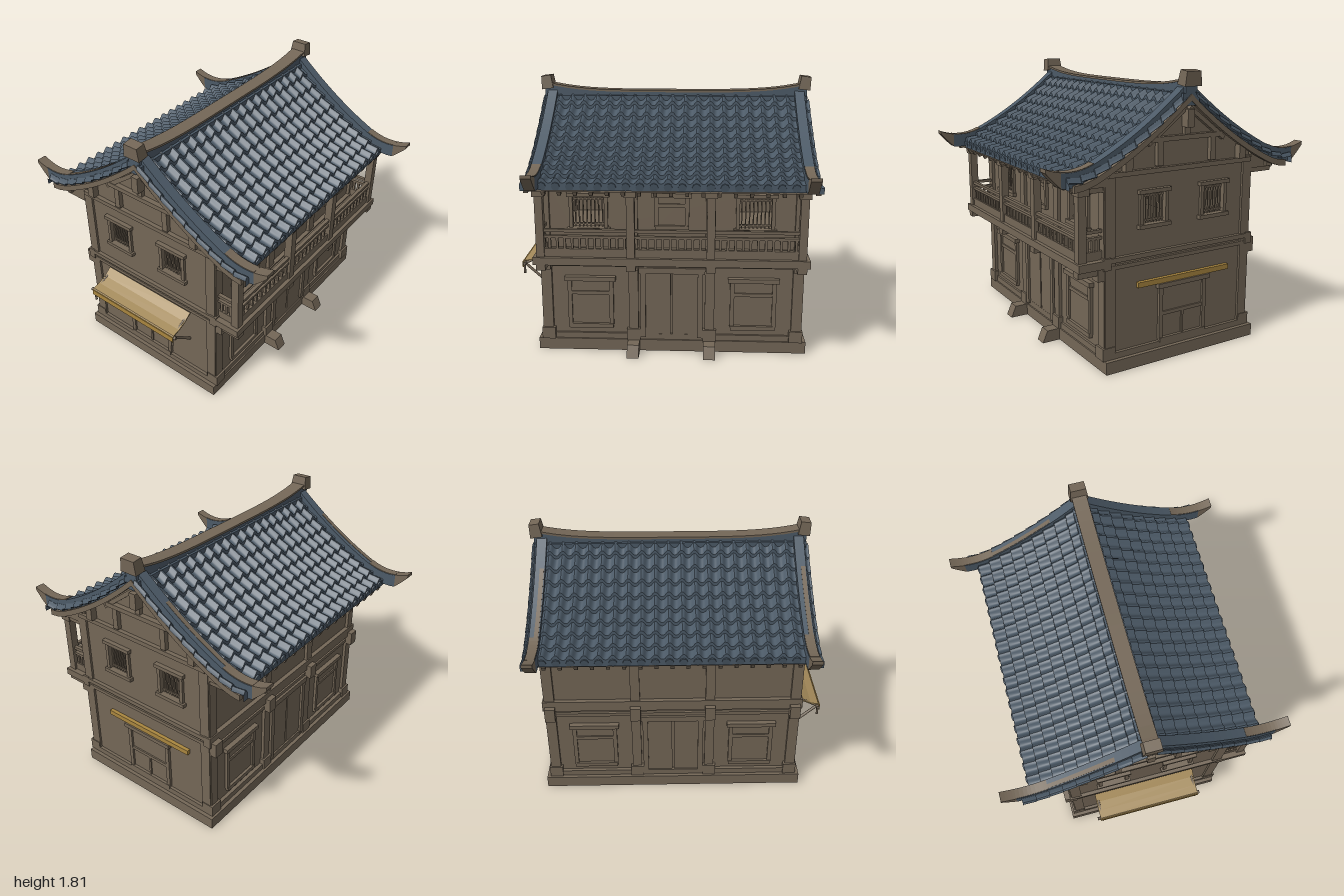
import * as THREE from 'three';
import { toCreasedNormals } from 'three/addons/utils/BufferGeometryUtils.js';

const mat = (name, color, side = THREE.FrontSide) => {
  const m = new THREE.MeshStandardMaterial({ color, side });
  m.name = name;
  return m;
};

export function createModel() {
  const timber = mat('weathered timber', 0x746757);
  const slate = mat('blue roof tile', 0x4c5a67, THREE.DoubleSide);
  const cloth = mat('faded tan cloth', 0xa48a5a, THREE.DoubleSide);
  const trim = mat('ochre cloth edge', 0xa9863f);

  const root = new THREE.Group();
  root.name = 'house';
  const group = (name, parent, x = 0, y = 0, z = 0, ry = 0) => {
    const g = new THREE.Group();
    g.name = name;
    g.position.set(x, y, z);
    g.rotation.y = ry;
    parent.add(g);
    return g;
  };
  const add = (parent, name, geo, m = timber) => {
    const mesh = new THREE.Mesh(geo, m);
    mesh.name = name;
    parent.add(mesh);
    return mesh;
  };
  // Box given by its low and high limits on each axis
  const box = (p, name, x0, x1, y0, y1, z0, z1, m = timber) => {
    const mesh = add(p, name, new THREE.BoxGeometry(x1 - x0, y1 - y0, z1 - z0), m);
    mesh.position.set((x0 + x1) / 2, (y0 + y1) / 2, (z0 + z1) / 2);
    return mesh;
  };
  const rod = (p, name, a, b, r, m = timber) => {
    const A = new THREE.Vector3(...a), d = new THREE.Vector3(...b).sub(A);
    const mesh = add(p, name, new THREE.CylinderGeometry(r, r, d.length(), 8), m);
    mesh.position.copy(A).addScaledVector(d, 0.5);
    mesh.quaternion.setFromUnitVectors(new THREE.Vector3(0, 1, 0), d.normalize());
    return mesh;
  };
  const vecs = pts => pts.map(p => new THREE.Vector2(...p));
  const extrude = (shape, depth) => new THREE.ExtrudeGeometry(shape, { depth, bevelEnabled: false });
  // Extruded strip between two height curves over [a, b]
  const strip = (a, b, lo, hi, depth, n = 24) => {
    const us = Array.from({ length: n + 1 }, (_, i) => a + (b - a) * i / n);
    const pts = [...us.map(u => [u, lo(u)]), ...us.map(u => [u, hi(u)]).reverse()];
    return extrude(new THREE.Shape(vecs(pts)), depth).translate(0, 0, -depth / 2);
  };
  const wall = (p, points, holes) => {
    const s = new THREE.Shape(vecs(points));
    for (const [x0, x1, y0, y1] of holes) s.holes.push(new THREE.Path(vecs([[x0, y0], [x0, y1], [x1, y1], [x1, y0]])));
    add(p, 'wall', extrude(s, 0.03).translate(0, 0, -0.03));
  };

  const slope = z => 1.69 - 0.87 * Math.abs(z) + 0.31 * z * z;
  const upturn = z => slope(z) + 1.1 * Math.max(0, Math.abs(z) - 0.65) ** 2;
  const building = group('building', root, 0.055);
  const body = group('body', building);
  const W = 0.86, F = 0.56, B = 0.52;
  const front = group('frontFace', body, 0, 0, F);
  const back = group('backFace', body, 0, 0, -B, Math.PI);

  // Details placed on a face: x across, y up, z outward
  const barredWindow = (f, x, w, y0, y1) => {
    box(f, 'windowLintel', x - w - 0.025, x + w + 0.025, y1, y1 + 0.025, -0.02, 0.03);
    box(f, 'windowSill', x - w - 0.025, x + w + 0.025, y0 - 0.025, y0, -0.02, 0.03);
    for (const s of [-1, 1]) box(f, 'windowJamb', x + s * w - 0.012, x + s * w + 0.012, y0, y1, -0.02, 0.018);
    for (let i = 1; i < 9; i++) {
      const u = x - w + 2 * w * i / 9;
      box(f, 'windowBar', u - 0.004, u + 0.004, y0, y1, -0.02, -0.008);
    }
    for (const t of [0.1, 0.9]) box(f, 'windowCrossbar', x - w, x + w, y0 + (y1 - y0) * t - 0.005, y0 + (y1 - y0) * t + 0.005, -0.022, -0.006);
  };
  const shutter = (f, x, w, y0, y1, t = 0.72) => {
    box(f, 'shutterPanel', x - w, x + w, y0, y1, -0.01, 0.006);
    box(f, 'shutterLintel', x - w - 0.03, x + w + 0.03, y1, y1 + 0.03, 0, 0.035);
    box(f, 'shutterSill', x - w - 0.01, x + w + 0.01, y0 - 0.02, y0 + 0.01, 0, 0.025);
    const mid = y0 + (y1 - y0) * t;
    box(f, 'shutterRail', x - w, x + w, mid - 0.012, mid + 0.012, 0, 0.016);
    for (const s of [-1, 1]) box(f, 'shutterJamb', x + s * w - 0.014, x + s * w + 0.014, y0, y1, 0, 0.02);
  };

  // Plinth, an open ring
  for (const s of [-1, 1]) {
    box(body, 'plinth', -0.905, 0.905, 0, 0.08, s > 0 ? 0.515 : -0.57, s > 0 ? 0.585 : -0.485);
    box(body, 'plinth', s > 0 ? 0.83 : -0.905, s > 0 ? 0.905 : -0.83, 0, 0.08, -0.49, 0.52);
    box(body, 'plinthLedge', -0.88, 0.88, 0.08, 0.12, s > 0 ? 0.53 : -0.545, s > 0 ? 0.575 : -0.5);
    box(body, 'plinthLedge', s > 0 ? 0.83 : -0.88, s > 0 ? 0.88 : -0.83, 0.08, 0.12, -0.5, 0.53);
  }
  box(body, 'upperFloor', -0.84, 0.84, 0.66, 0.69, -0.5, 0.54);

  // Front and back walls
  const rect = [[-W, 0.05], [W, 0.05], [W, 1.25], [-W, 1.25]];
  wall(front, rect, [[-0.655, -0.435, 0.87, 1.08], [0.435, 0.655, 0.87, 1.08]]);
  wall(back, rect, []);

  // Gable ends with windows and roof framing
  for (const side of [1, -1]) {
    const f = group(side > 0 ? 'leftFace' : 'rightFace', body, side * W, 0, 0, side * Math.PI / 2);
    const [u0, u1] = side > 0 ? [-F, B] : [-B, F];
    const gable = [[u0, 0.05], [u1, 0.05]];
    for (let i = 0; i <= 6; i++) gable.push([u1 * (1 - i / 6), slope(u1 * (1 - i / 6)) - 0.035]);
    for (let i = 1; i <= 6; i++) gable.push([u0 * i / 6, slope(u0 * i / 6) - 0.035]);
    wall(f, gable, [-1, 1].map(s => [s * 0.228 - 0.085, s * 0.228 + 0.085, 0.9, 1.09]));
    for (const s of [-1, 1]) {
      const edge = s > 0 ? u1 : u0;
      barredWindow(f, s * 0.228, 0.092, 0.9, 1.09);
      box(f, 'cornerPost', Math.min(edge + s * 0.015, edge - s * 0.055), Math.max(edge + s * 0.015, edge - s * 0.055), 0.08, 1.22, -0.05, 0.015);
      box(f, 'gablePost', s * 0.2 - 0.02, s * 0.2 + 0.02, 1.25, 1.42, 0, 0.03);
      box(f, 'purlinEnd', s * 0.43 - 0.025, s * 0.43 + 0.025, 1.24, 1.33, 0, 0.045);
      const brace = box(f, 'gableBrace', -0.17, 0.17, -0.014, 0.014, 0, 0.03);
      brace.position.set(s * 0.15, 1.485, 0.015);
      brace.rotation.z = -s * 0.64;
    }
    shutter(f, 0, 0.17, 0.13, 0.475, 0.49);
    box(f, 'shutterDivider', -0.008, 0.008, 0.13, 0.3, 0, 0.016);
    for (const [name, y0, y1, z] of [['floorBand', 0.695, 0.725, 0.025], ['floorBand', 0.65, 0.675, 0.018], ['gableBeam', 1.21, 1.24, 0.028]]) {
      box(f, name, u0, u1, y0, y1, 0, z);
    }
    box(f, 'gableCollar', -0.27, 0.27, 1.395, 1.425, 0, 0.035);
    box(f, 'ridgePurlin', -0.025, 0.025, 1.47, 1.58, 0, 0.06);
    box(f, 'ridgePost', -0.02, 0.02, 1.42, 1.48, 0, 0.025);
  }

  // Columns, beams, shutters and doors on front and back
  const bay = 0.255, corner = 0.835, posts = [-corner, -bay, bay, corner];
  for (const f of [front, back]) {
    for (const x of posts) {
      box(f, 'column', x - 0.032, x + 0.032, 0.08, 1.25, -0.05, 0.022);
      box(f, 'columnFoot', x - 0.045, x + 0.045, 0.08, 0.16, -0.05, 0.035);
      box(f, 'columnBracket', x - 0.035, x + 0.035, 0.59, 0.69, 0, 0.065);
      box(f, 'eaveBracket', x - 0.03, x + 0.03, 1.13, 1.2, 0, 0.19);
    }
    for (const s of [-1, 1]) shutter(f, s * 0.545, 0.14, 0.18, 0.5);
    box(f, 'floorBeam', -0.885, 0.885, 0.655, 0.73, -0.02, 0.03);
    box(f, 'topBeam', -0.87, 0.87, 1.14, 1.19, 0, 0.025);
    box(f, 'lowerBeam', -0.84, 0.84, 0.6, 0.625, 0, 0.018);
    box(f, 'eavePurlin', -0.89, 0.89, 1.165, 1.2, 0.13, 0.18);
    for (const s of [-1, 1]) {
      box(f, 'doorLeaf', s > 0 ? 0.006 : -0.175, s > 0 ? 0.175 : -0.006, 0.12, 0.56, 0, 0.014);
      box(f, 'doorJamb', s * 0.192 - 0.018, s * 0.192 + 0.018, 0.1, 0.58, 0, 0.03);
    }
    box(f, 'doorLintel', -0.22, 0.22, 0.56, 0.6, 0, 0.035);
  }
  for (const s of [-1, 1]) barredWindow(front, s * 0.545, 0.115, 0.87, 1.08);
  shutter(front, 0, 0.1, 0.88, 1.08);

  // Step blocks in front of the middle columns
  for (const x of [-bay, bay]) {
    const step = new THREE.Shape(vecs([[0, 0], [0.15, 0], [0.115, 0.08], [0, 0.08]]));
    add(front, 'stepBlock', extrude(step, 0.08).rotateY(-Math.PI / 2)).position.set(x + 0.04, 0, 0);
  }

  // Balcony
  const balcony = group('balcony', front);
  box(balcony, 'balconyFloor', -0.885, 0.885, 0.67, 0.72, 0, 0.2);
  const rails = [[0.885, 0.905], [0.845, 0.862], [0.72, 0.775]];
  posts.forEach((x, i) => {
    box(balcony, 'balconyPost', x - 0.026, x + 0.026, 0.7, 1.19, 0.135, 0.187);
    box(balcony, 'postCap', x - 0.038, x + 0.038, 1.12, 1.16, 0.12, 0.195);
    box(balcony, 'balconyBracket', x - 0.03, x + 0.03, 0.63, 0.68, 0, 0.195);
    if (i === 3) return;
    const x1 = posts[i + 1];
    for (const [y0, y1] of rails) box(balcony, 'rail', x, x1, y0, y1, 0.15, 0.175);
    for (let u = x + 0.06; u < x1 - 0.03; u += 0.048) box(balcony, 'baluster', u - 0.008, u + 0.008, 0.77, 0.85, 0.155, 0.17);
  });
  for (const s of [-1, 1]) {
    for (const [y0, y1] of rails) box(balcony, 'sideRail', s * corner - 0.012, s * corner + 0.012, y0, y1, 0, 0.16);
    for (const z of [0.045, 0.08, 0.115]) box(balcony, 'sideBaluster', s * corner - 0.008, s * corner + 0.008, 0.77, 0.85, z - 0.008, z + 0.008);
  }

  // Roof tiles: rolls across, stepped rows down the slope
  const roof = group('roof', building, 0.003);
  const tileSheet = (x0, x1, cols, zEnd, step, curve) => {
    const rows = 9, seg = 8, nx = cols * seg, lines = [], pos = [], idx = [];
    for (let r = 0; r < rows; r++) {
      lines.push([0.03 + (zEnd - 0.03) * r / rows, 0], [0.03 + (zEnd - 0.03) * (r + 1) / rows, step]);
    }
    lines.push([zEnd, -0.03]);
    lines.forEach(([z, lift], j) => {
      for (let i = 0; i <= nx; i++) {
        const p = (i % seg) / seg;
        const roll = p < 0.6 ? 0.026 * Math.sin(Math.PI * p / 0.6) : -0.008 * Math.sin(Math.PI * (p - 0.6) / 0.4);
        pos.push(x0 + (x1 - x0) * i / nx, curve(z) + lift + (j === lines.length - 1 ? 0 : roll), z);
        if (!i || !j) continue;
        const d = j * (nx + 1) + i, c = d - 1, b = d - nx - 1, a = b - 1;
        idx.push(a, c, b, b, c, d);
      }
    });
    const g = new THREE.BufferGeometry();
    g.setAttribute('position', new THREE.Float32BufferAttribute(pos, 3));
    g.setIndex(idx);
    return toCreasedNormals(g, 0.7);
  };
  for (const turn of [0, Math.PI]) {
    const half = group('roofHalf', roof, 0, 0, 0, turn);
    add(half, 'tileField', tileSheet(-0.83, 0.83, 19, 0.78, 0.024, slope), slate);
    for (const x of [-0.927, 0.87]) add(half, 'edgeTiles', tileSheet(x, x + 0.057, 1, 0.84, 0.014, z => upturn(z) - 0.01), slate);
    for (let i = 0; i < 19; i++) {
      const x = -0.83 + 1.66 * (i + 0.3) / 19;
      rod(half, 'tileEnd', [x, 1.203, 0.74], [x, 1.195, 0.785], 0.027, slate);
    }
    for (let i = 0; i <= 16; i++) {
      const rafter = box(half, 'rafter', -0.012, 0.012, -0.015, 0.015, -0.13, 0.13);
      rafter.position.set(-0.8 + i * 0.1, slope(0.65) - 0.055, 0.65);
      rafter.rotation.x = 0.437;
    }
  }
  // Strip running front to back, following the slope
  const band = (name, x, a, b, lo, hi, width, m, n) => {
    add(roof, name, strip(a, b, lo, hi, width, n).rotateY(-Math.PI / 2), m).position.x = x;
  };
  band('roofDeck', 0, -0.77, 0.77, z => slope(z) - 0.045, z => slope(z) - 0.02, 1.8, timber);
  for (const s of [-1, 1]) {
    const x = s * 0.857;
    band('bargeBoard', s * 0.9, -0.8, 0.8, z => upturn(z) - 0.06, z => upturn(z) - 0.02, 0.03, timber);
    band('gableRidge', x, -0.87, 0.87, z => upturn(z) - 0.035, z => upturn(z) + 0.055, 0.066, slate, 40);
    for (const e of [-1, 1]) {
      const [a, b] = e > 0 ? [0.87, 0.965] : [-0.965, -0.87];
      const rise = z => (Math.abs(z) - 0.87) / 0.095;
      band('gableRidgeTip', x, a, b, z => upturn(z) - 0.035 + 0.07 * rise(z), z => upturn(z) + 0.058, 0.066, timber, 6);
      const [c, d] = e > 0 ? [0.66, 0.87] : [-0.87, -0.66];
      band('gableRidgeCap', x, c, d, z => upturn(z) + 0.053, z => upturn(z) + 0.06, 0.06, timber, 8);
      const [g, h] = e > 0 ? [0.53, 0.72] : [-0.72, -0.53];
      band('eaveInfill', s * 0.85, g, h, () => 1.16, z => slope(z) - 0.03, 0.04, timber, 6);
    }
    // Worn crest along the back slope
    band('wornCrest', x - 0.012, -0.67, -0.22, z => upturn(z) + 0.053, z => upturn(z) + 0.058, 0.028, timber, 12);
  }

  // Main ridge with raised ends
  const crest = x => 1.712 + 0.055 * (Math.abs(x) / 0.9) ** 4;
  add(roof, 'ridgeBody', strip(-0.91, 0.91, () => 1.62, x => crest(x) - 0.012, 0.085), slate);
  add(roof, 'ridgeFoot', strip(-0.91, 0.91, () => 1.6, () => 1.675, 0.12, 1), slate);
  add(roof, 'ridgeCap', strip(-0.91, 0.91, x => crest(x) - 0.014, crest, 0.1), timber);
  for (const s of [-1, 1]) {
    const geo = new THREE.CylinderGeometry(0.066, 0.078, 0.09, 4, 1).rotateY(Math.PI / 4).scale(0.72, 1, 1.12);
    const horn = add(roof, 'ridgeHorn', toCreasedNormals(geo, 0.5));
    horn.position.set(s * 0.895, 1.765, 0);
    horn.rotation.z = -s * 0.12;
  }

  // Cloth awning on poles, and a cloth edge on the opposite wall
  const awning = group('awning', root);
  const profile = [[-0.815, 0.635], [-0.87, 0.592], [-0.93, 0.568], [-0.985, 0.558], [-0.993, 0.548]];
  const sheet = new THREE.Shape(vecs([...profile, ...profile.map(([x, y]) => [x + 0.005, y - 0.006]).reverse()]));
  add(awning, 'awningCloth', extrude(sheet, 0.735).translate(0, 0, -0.37), cloth);
  box(awning, 'awningValance', -0.997, -0.991, 0.508, 0.55, -0.37, 0.365, trim);
  rod(awning, 'awningFrontPole', [-0.98, 0.538, -0.39], [-0.98, 0.538, 0.38], 0.012);
  for (const z of [-0.355, 0.35]) {
    rod(awning, 'awningArm', [-0.81, 0.615, z], [-0.98, 0.535, z], 0.009);
    rod(awning, 'awningStrut', [-0.81, 0.38, z], [-0.98, 0.535, z], 0.01);
    rod(awning, 'awningTie', [-0.985, 0.54, z], [-0.985, 0.46, z], 0.008);
  }
  box(root, 'clothEdge', 0.9, 0.94, 0.506, 0.54, -0.36, 0.345, trim);
  return root;
}
